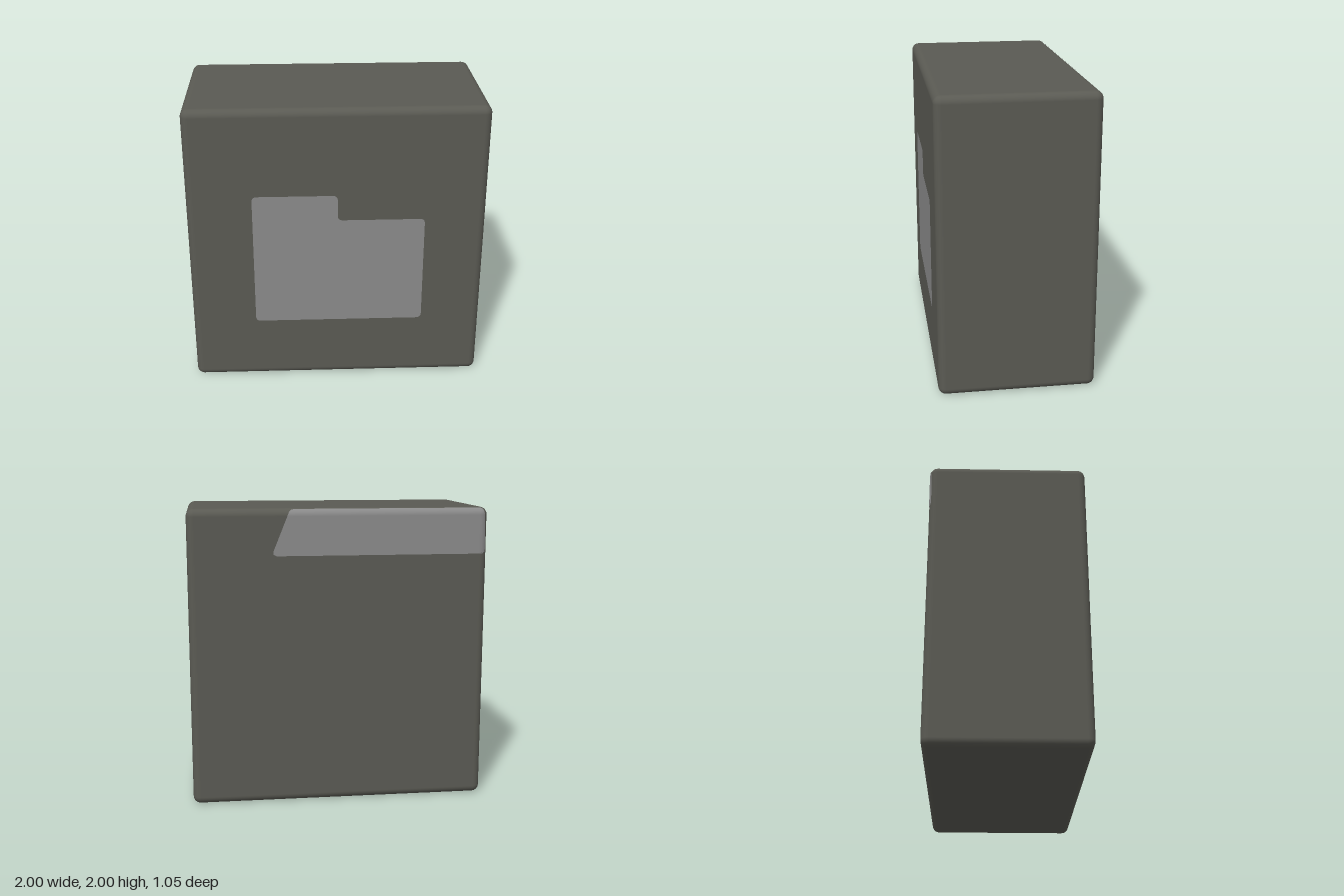
import * as THREE from 'three';
import { RoundedBoxGeometry } from 'three/addons/geometries/RoundedBoxGeometry.js';

const W = 2, H = 2, D = 1.045, R = 0.05;
const LIFT = 0.003; // painted patches sit just above the casing

// Outline with small rounded corners
function roundedOutline(points, r) {
  const shape = new THREE.Shape();
  const pts = points.map(([x, y]) => new THREE.Vector2(x, y));
  pts.forEach((p, i) => {
    const prev = pts[(i + pts.length - 1) % pts.length];
    const next = pts[(i + 1) % pts.length];
    const a = p.clone().add(prev.clone().sub(p).setLength(r));
    const b = p.clone().add(next.clone().sub(p).setLength(r));
    if (i === 0) shape.moveTo(a.x, a.y);
    else shape.lineTo(a.x, a.y);
    shape.quadraticCurveTo(p.x, p.y, b.x, b.y);
  });
  shape.closePath();
  return shape;
}

// Patch on the back that wraps over the rounded top and side edges
function wrappedPatch() {
  const geo = new THREE.PlaneGeometry(1, 1, 72, 32);
  const pos = geo.attributes.position, nor = geo.attributes.normal;
  const p = new THREE.Vector3(), core = new THREE.Vector3(), n = new THREE.Vector3();
  const low = 1.69, high = 2.035, c = 0.035;
  for (let i = 0; i < pos.count; i++) {
    const u = pos.getX(i) + 0.5, v = pos.getY(i) + 0.5;
    const y = low + v * (high - low);
    // pull the row ends in near the top and bottom to round the corners
    const d = Math.max(0, c - Math.min(y - low, high - y));
    const inset = c - Math.sqrt(Math.max(0, c * c - d * d));
    const left = 0.45 - 0.14 * v - inset;
    const right = -1.0 + 0.03 * v * v + inset;
    p.set(THREE.MathUtils.lerp(left, right, u), y, -D / 2);
    core.set(
      THREE.MathUtils.clamp(p.x, -W / 2 + R, W / 2 - R),
      THREE.MathUtils.clamp(p.y, R, H - R),
      -D / 2 + R
    );
    n.subVectors(p, core).normalize();
    p.copy(core).addScaledVector(n, R + LIFT);
    pos.setXYZ(i, p.x, p.y, p.z);
    nor.setXYZ(i, n.x, n.y, n.z);
  }
  return geo;
}

export function createModel() {
  const model = new THREE.Group();
  model.name = 'casing';
  const darkGrey = new THREE.MeshStandardMaterial({ color: 0x5a5a53 });
  darkGrey.name = 'dark grey';
  const lightGrey = new THREE.MeshStandardMaterial({ color: 0x8a8a8a });
  lightGrey.name = 'light grey';

  const add = (name, geometry, material) => {
    const mesh = new THREE.Mesh(geometry, material);
    mesh.name = name;
    model.add(mesh);
    return mesh;
  };

  // Rounded block
  add('body', new RoundedBoxGeometry(W, H, D, 6, R), darkGrey).position.y = H / 2;

  // Stepped panel on the front
  const outline = roundedOutline([
    [-0.565, 0.45], [0.59, 0.45], [0.59, 1.22],
    [0.005, 1.22], [0.005, 1.4], [-0.565, 1.4]
  ], 0.035);
  add('frontPanel', new THREE.ShapeGeometry(outline, 8), lightGrey).position.z = D / 2 + LIFT;

  // Slanted strip along the upper back edge
  add('backStrip', wrappedPatch(), lightGrey);

  return model;
}
